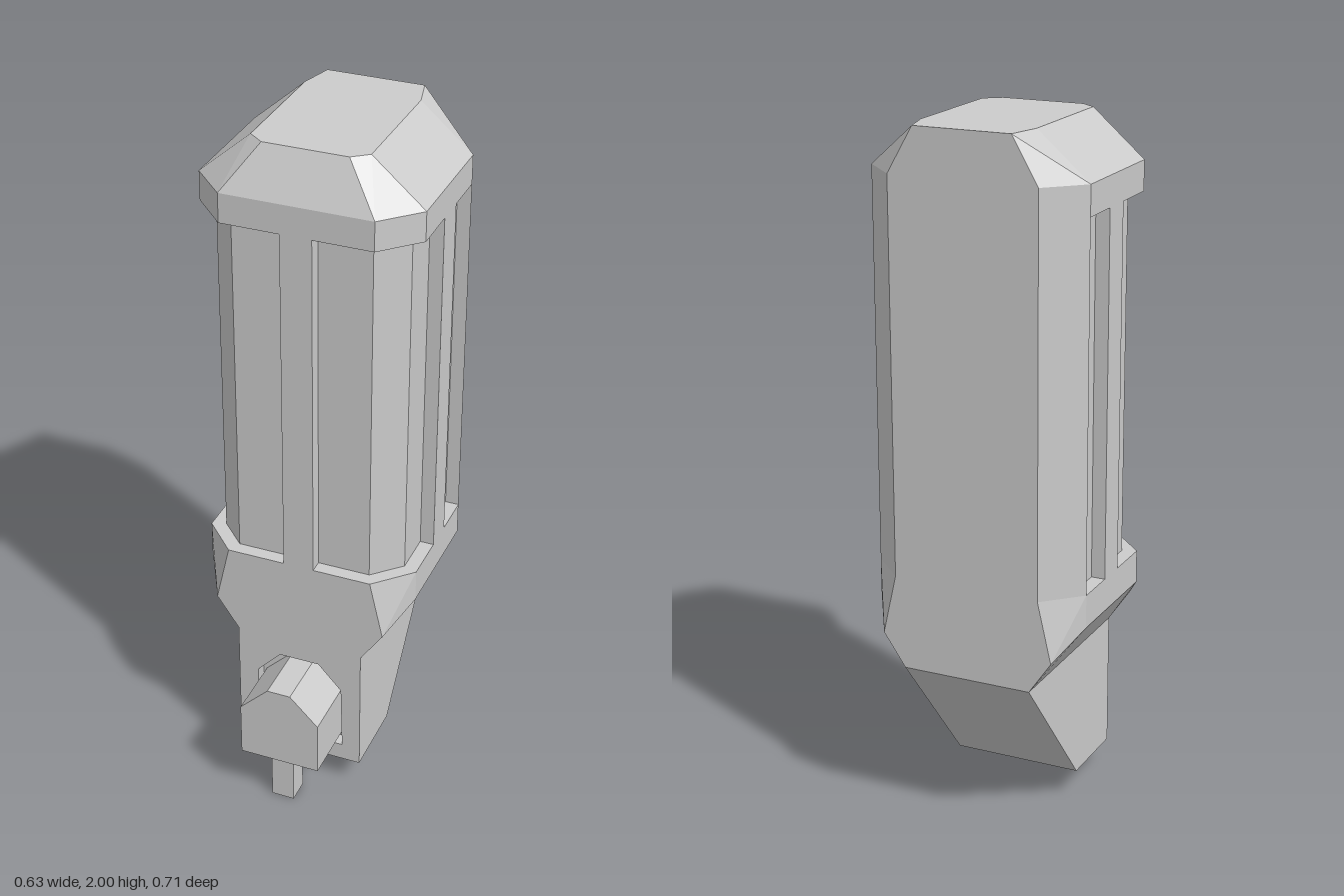
import * as THREE from 'three';
import { ConvexGeometry } from 'three/addons/geometries/ConvexGeometry.js';

const FRONT = 0.205, BACK = -0.355;
const grey = new THREE.MeshStandardMaterial({ color: 0xcccccc, flatShading: true });

// Mirror a right-hand outline of [x, z] (or [x, y]) pairs into a closed loop
const mirrored = (half) => [...half, ...half.map(([x, v]) => [-x, v]).reverse()];
const level = (half, y) => mirrored(half).map(([x, z]) => new THREE.Vector3(x, y, z));
const toPath = (pts, Type = THREE.Shape) => new Type(pts.map(([x, y]) => new THREE.Vector2(x, y)));

function extrude(shape, depth) {
  return new THREE.ExtrudeGeometry(shape, { depth, bevelEnabled: false });
}

export function createModel() {
  const model = new THREE.Group();
  const add = (name, geometry) => {
    const mesh = new THREE.Mesh(geometry, grey);
    mesh.name = name;
    model.add(mesh);
    return mesh;
  };

  const octagon = [[0.215, FRONT], [0.315, 0.103], [0.315, -0.257], [0.215, BACK]];
  const neck = [[0.19, FRONT], [0.19, BACK]];

  // Bevelled cap
  add('cap', new ConvexGeometry([
    ...level(octagon, 1.785),
    ...level(octagon, 1.87),
    ...level([[0.12, 0.138], [0.165, 0.103], [0.165, -0.257], [0.14, BACK]], 2),
  ]));

  // Tall column with recessed panels between the front and side ribs
  const column = mirrored([
    [0.045, FRONT], [0.045, 0.165], [0.198, 0.165], [0.275, 0.088],
    [0.275, -0.04], [0.315, -0.04], [0.315, -0.13], [0.275, -0.13],
    [0.275, -0.257], [0.315, -0.257], [0.215, BACK],
  ]).map(([x, z]) => [x, -z]);
  const columnGeometry = extrude(toPath(column), 1.785 - 0.75);
  columnGeometry.rotateX(-Math.PI / 2).translate(0, 0.75, 0);
  add('ribbedColumn', columnGeometry);

  // Collar tapering down to the neck
  add('collar', new ConvexGeometry([
    ...level(octagon, 0.75),
    ...level(octagon, 0.655),
    ...level([[0.255, FRONT], [0.255, BACK]], 0.575),
    ...level(neck, 0.48),
  ]));

  // Base with a sloping back
  const plateBack = 0.165;
  add('base', new ConvexGeometry([
    ...level([[0.19, plateBack], [0.19, BACK]], 0.48),
    ...level([[0.19, plateBack], [0.19, -0.025]], 0.085),
  ]));

  // Front plate with the arched opening around the nozzle
  const plate = toPath(mirrored([[0.19, 0.085], [0.19, 0.48]]));
  plate.holes.push(toPath(mirrored([[0.135, 0.138], [0.13, 0.342], [0.06, 0.418]]), THREE.Path));
  add('frontPlate', extrude(plate, FRONT - plateBack)).position.z = plateBack;

  // Nozzle block and its spout
  const nozzle = toPath(mirrored([[0.12, 0.155], [0.12, 0.32], [0.035, 0.405]]));
  add('nozzle', extrude(nozzle, 0.357 - plateBack)).position.z = plateBack;
  add('spout', new THREE.BoxGeometry(0.068, 0.16, 0.07)).position.set(0, 0.08, 0.3);

  return model;
}
